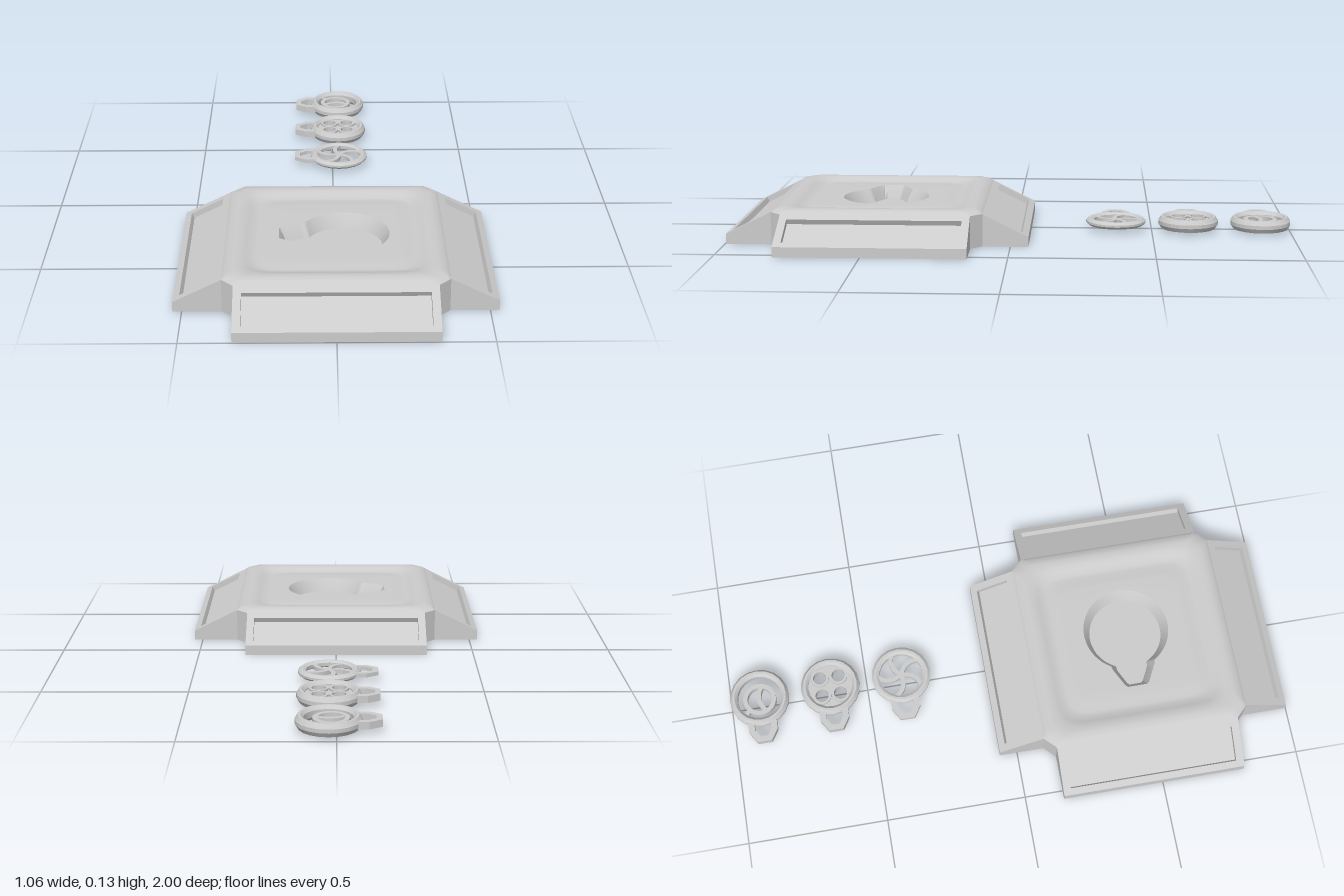
import * as THREE from 'three';
import { toCreasedNormals } from 'three/addons/utils/BufferGeometryUtils.js';

const material = new THREE.MeshStandardMaterial({ color: 0xcccccc });

function addMesh(parent, name, geometry, crease = 0.5) {
  const mesh = new THREE.Mesh(toCreasedNormals(geometry, crease), material);
  mesh.name = name;
  parent.add(mesh);
  return mesh;
}

// Skin a stack of equal-length rings and close both ends
function loft(rings) {
  const n = rings[0].length, pos = [], index = [];
  const centre = ring => ring.reduce((s, p) => s.add(p), new THREE.Vector3()).divideScalar(n);
  rings.flat().forEach(p => pos.push(p.x, p.y, p.z));
  const last = rings.length - 1, low = rings.length * n;
  [centre(rings[0]), centre(rings[last])].forEach(p => pos.push(p.x, p.y, p.z));
  for (let j = 0; j < n; j++) {
    const k = (j + 1) % n;
    for (let i = 0; i < last; i++) {
      const a = i * n + j, b = i * n + k;
      index.push(a, a + n, b, b, a + n, b + n);
    }
    index.push(low, j, k, low + 1, last * n + k, last * n + j);
  }
  const g = new THREE.BufferGeometry();
  g.setAttribute('position', new THREE.Float32BufferAttribute(pos, 3));
  g.setIndex(index);
  return g;
}

// Radial outlines: chamfered square, rounded square and keyhole
const octagon = a => (c, s) =>
  Math.min(a / Math.max(Math.abs(c), Math.abs(s)), (2 * a - 0.04) / (Math.abs(c) + Math.abs(s)));
const rounded = a => (c, s) => a / Math.pow(Math.abs(c) ** 9 + Math.abs(s) ** 9, 1 / 9);
const keyhole = inset => (c, s) => {
  const R = 0.155 - inset, cx = 0.03;
  const disc = cx * c + Math.sqrt(R * R - cx * cx * s * s);
  if (c >= -0.01) return disc;
  const z = Math.abs(s) + 1e-6;
  const tab = Math.min((0.19 - inset) / -c, (0.08 - inset) / z, (0.121 - inset) / (-0.447 * c + 0.894 * z));
  return Math.max(disc, tab);
};

function buildBody(base) {
  const angles = [];
  for (let i = 0; i < 120; i++) angles.push((i + 0.5) / 120 * Math.PI * 2);
  const corner = Math.atan2(0.33, 0.37);
  for (let q = 0; q < 4; q++) angles.push(q * Math.PI / 2 + corner, (q + 1) * Math.PI / 2 - corner);
  angles.sort((a, b) => a - b);
  const ring = ([outline, y]) => angles.map(t => {
    const c = Math.cos(t), s = Math.sin(t), r = outline(c, s);
    return new THREE.Vector3(r * c, y, r * s);
  });
  // wall, soft rim, shallow groove, plateau, keyhole socket
  addMesh(base, 'body', loft([
    [octagon(0.37), 0], [octagon(0.37), 0.115], [octagon(0.358), 0.125], [octagon(0.335), 0.13],
    [rounded(0.312), 0.129], [rounded(0.295), 0.122], [rounded(0.275), 0.114], [rounded(0.26), 0.113],
    [rounded(0.235), 0.117], [rounded(0.215), 0.118],
    [keyhole(0), 0.118], [keyhole(0.012), 0.098], [keyhole(0.024), 0.07],
  ].map(ring)), 0.6);
}

function buildWing(base, k) {
  const slopeY = x => 0.035 + (0.53 - x) * 0.5;
  const rect = (x0, x1, w, y, dx = 0, dy = 0) => [[x1, -w], [x1, w], [x0, w], [x0, -w]]
    .map(([x, z]) => new THREE.Vector3(x + dx, y(x) + dy, z));
  const flat = () => 0, d = 0.02;
  // sloping block with a rectangular tray sunk square to the slope
  const wing = addMesh(base, 'slopedWing' + (k + 1), loft([
    rect(0.365, 0.53, 0.33, flat),
    rect(0.365, 0.53, 0.33, slopeY),
    rect(0.395, 0.508, 0.303, slopeY),
    rect(0.395, 0.508, 0.303, slopeY, -0.447 * d, -0.894 * d),
  ]), 0.2);
  wing.rotation.y = k * Math.PI / 2;
}

// Flat plate lying in the xz plane, centred on y = 0
function plate(shape, h) {
  return new THREE.ExtrudeGeometry(shape, { depth: h, bevelEnabled: false, curveSegments: 16 })
    .translate(0, 0, -h / 2).rotateX(-Math.PI / 2);
}

function polygon(points) {
  return new THREE.Shape(points.map(([x, y]) => new THREE.Vector2(x, y)));
}

function disc(r, holes, x = 0, y = 0) {
  const s = new THREE.Shape().absarc(x, y, r, 0, Math.PI * 2);
  holes.forEach(([hx, hy, hr]) => s.holes.push(new THREE.Path().absarc(hx, hy, hr, 0, Math.PI * 2, true)));
  return s;
}

// Curved strip following a path with constant width
function strip(points, width) {
  const curve = new THREE.CatmullRomCurve3(points.map(([x, y]) => new THREE.Vector3(x, y, 0)));
  const left = [], right = [];
  for (let i = 0; i <= 10; i++) {
    const p = curve.getPoint(i / 10), t = curve.getTangent(i / 10);
    left.push([p.x - t.y * width / 2, p.y + t.x * width / 2]);
    right.unshift([p.x + t.y * width / 2, p.y - t.x * width / 2]);
  }
  return polygon([...left, ...right]);
}

// Round token: faceted rim and side loop
function buildToken(parent, name, z, h) {
  const token = new THREE.Group();
  token.name = name;
  token.position.set(0.025, 0.033, z);
  parent.add(token);
  const profile = [[0.08, -h * 0.5], [0.09, -h], [0.098, -h], [0.108, -h * 0.3], [0.108, h * 0.3],
    [0.098, h], [0.09, h], [0.08, h * 0.5], [0.08, -h * 0.5]].map(p => new THREE.Vector2(...p));
  addMesh(token, 'rim', new THREE.LatheGeometry(profile, 20), 0.35);
  const loop = polygon([[-0.085, 0.052], [-0.128, 0.052], [-0.17, 0.026], [-0.17, -0.026], [-0.128, -0.052], [-0.085, -0.052]]);
  loop.holes.push(polygon([[-0.102, 0.03], [-0.102, -0.03], [-0.124, -0.03], [-0.15, -0.014], [-0.15, 0.014], [-0.124, 0.03]]));
  addMesh(token, 'loop', plate(loop, h * 1.1));
  return token;
}

export function createModel() {
  const model = new THREE.Group();
  model.name = 'displayBaseWithTokens';

  const base = new THREE.Group();
  base.name = 'base';
  base.position.z = 0.467;
  model.add(base);
  buildBody(base);
  for (let k = 0; k < 4; k++) buildWing(base, k);

  // Token with five swept spokes
  const spoked = buildToken(model, 'spokedToken', -0.37, 0.0125);
  for (let i = 0; i < 5; i++) {
    const spoke = addMesh(spoked, 'spoke' + (i + 1),
      plate(strip([[0, 0], [0.03, 0.008], [0.06, 0.002], [0.085, -0.018]], 0.016), 0.014));
    spoke.rotation.y = i * Math.PI * 2 / 5 + 0.5;
  }

  // Token with four round openings
  const pierced = buildToken(model, 'piercedToken', -0.632, 0.022);
  const spots = [[1, 1], [-1, 1], [-1, -1], [1, -1]].map(([x, y]) => [x * 0.034, y * 0.034]);
  addMesh(pierced, 'web', plate(disc(0.086, spots.map(p => [...p, 0.026])), 0.014));
  spots.forEach(([x, y], i) =>
    addMesh(pierced, 'collar' + (i + 1), plate(disc(0.033, [[x, y, 0.024]], x, y), 0.028)));

  // Token with an inner ring, an arched bar and a short link to the rim
  const ringed = buildToken(model, 'ringedToken', -0.893, 0.022);
  addMesh(ringed, 'innerRing', plate(disc(0.06, [[-0.008, 0, 0.044]], -0.008, 0), 0.022));
  addMesh(ringed, 'archedBar', plate(strip([[-0.055, -0.018], [-0.02, 0], [0.015, 0], [0.045, -0.015]], 0.016), 0.02));
  addMesh(ringed, 'link', plate(strip([[-0.036, 0.036], [-0.05, 0.046], [-0.062, 0.058]], 0.016), 0.02));

  return model;
}
